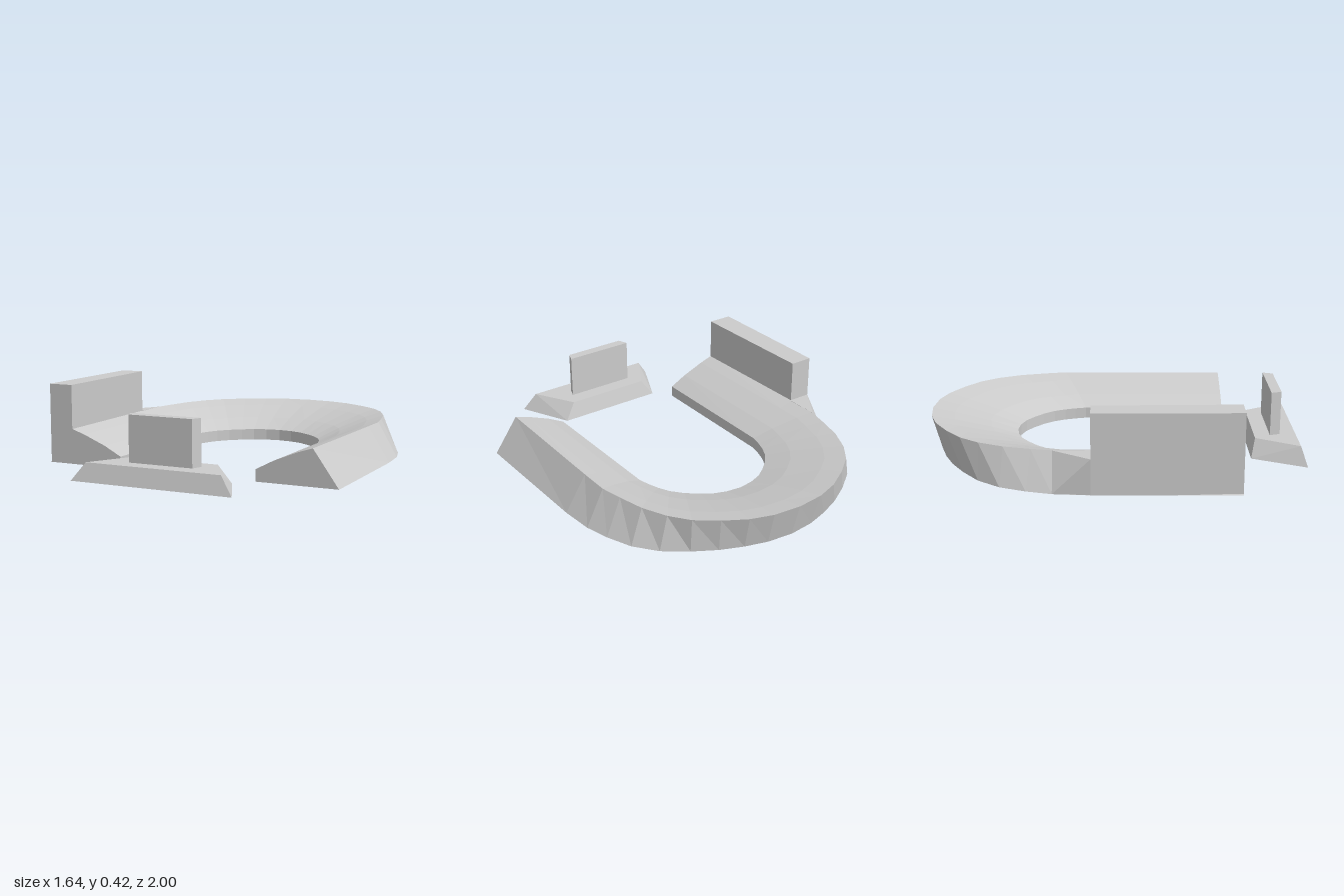
import * as THREE from 'three';
import { ConvexGeometry } from 'three/addons/geometries/ConvexGeometry.js';

const material = new THREE.MeshStandardMaterial({ color: 0xcccccc, flatShading: true });

function addMesh(group, name, geometry) {
  const mesh = new THREE.Mesh(geometry, material);
  mesh.name = name;
  group.add(mesh);
}

// Solid between a bottom outline at y0 and a top outline at y1, given as [x, z] corners
function frustum(bottom, y0, top, y1) {
  return new ConvexGeometry([
    ...bottom.map(([x, z]) => new THREE.Vector3(x, y0, z)),
    ...top.map(([x, z]) => new THREE.Vector3(x, y1, z)),
  ]);
}

// Outline symmetric in x: back edge half-width and z, front edge half-width and z
const trapezoid = (xb, zb, xf, zf) => [[-xb, zb], [xb, zb], [xf, zf], [-xf, zf]];

// Half of the mound, from the back centre to the front end:
// inner edge x z, outer foot x z, outer ridge x z
const stations = [
  [0, -0.535, 0, -0.95, 0, -1],
  [0.08, -0.525, 0.14, -0.935, 0.15, -0.985],
  [0.15, -0.50, 0.26, -0.90, 0.27, -0.945],
  [0.21, -0.46, 0.38, -0.85, 0.39, -0.875],
  [0.27, -0.41, 0.50, -0.78, 0.50, -0.79],
  [0.32, -0.35, 0.62, -0.69, 0.575, -0.69],
  [0.35, -0.29, 0.71, -0.575, 0.635, -0.56],
  [0.37, -0.23, 0.765, -0.44, 0.67, -0.42],
  [0.385, -0.17, 0.80, -0.31, 0.695, -0.30],
  [0.385, -0.12, 0.815, -0.13, 0.695, -0.13],
  [0.385, 0.625, 0.82, 0.625, 0.685, 0.625],
];

// Sloping top, from ridge to inner edge: [fraction from inner edge, height]
const slope = [[1, 0.188], [0.74, 0.163], [0.32, 0.112], [0, 0.062]];

function section([ix, iz, bx, bz, tx, tz], side) {
  const top = slope.map(([f, y]) => [side * (ix + (tx - ix) * f), y, iz + (tz - iz) * f]);
  return [[side * bx, 0, bz], ...top, [side * ix, 0, iz]];
}

function moundGeometry() {
  const rings = [
    ...stations.slice().reverse().map((s) => section(s, 1)),
    ...stations.slice(1).map((s) => section(s, -1)),
  ];
  const n = rings[0].length;
  const index = [];
  for (let r = 0; r < rings.length - 1; r++) {
    for (let k = 0; k < n; k++) {
      const a = r * n + k, c = r * n + (k + 1) % n;
      index.push(a, a + n, c, a + n, c + n, c);
    }
  }
  // Flat front ends
  const last = (rings.length - 1) * n;
  for (let k = 1; k < n - 1; k++) {
    index.push(0, k, k + 1, last, last + k + 1, last + k);
  }
  const geometry = new THREE.BufferGeometry();
  geometry.setAttribute('position', new THREE.Float32BufferAttribute(rings.flat(2), 3));
  geometry.setIndex(index);
  const flat = geometry.toNonIndexed();
  flat.computeVertexNormals();
  return flat;
}

export function createModel() {
  const group = new THREE.Group();
  group.name = 'horseshoeMonument';

  addMesh(group, 'horseshoeMound', moundGeometry());

  // Upright wall along the outside of the right arm
  const wall = [[-0.815, 0.625], [-0.68, 0.625], [-0.695, -0.12], [-0.82, -0.12]];
  addMesh(group, 'sideWall', frustum(wall, 0, wall, 0.42));

  // Wedge easing the mound into the wall
  addMesh(group, 'wallTransition', frustum(
    [[-0.815, -0.12], [-0.69, -0.12], [-0.80, -0.31], [-0.69, -0.30]], 0,
    [[-0.82, -0.12], [-0.69, -0.12], [-0.695, -0.31]], 0.188));

  // Free-standing tablet on its plinth
  addMesh(group, 'plinth', frustum(
    trapezoid(0.305, 0.72, 0.44, 1), 0, trapezoid(0.24, 0.745, 0.37, 0.97), 0.093));
  const tablet = trapezoid(0.195, 0.83, 0.175, 0.885);
  addMesh(group, 'tablet', frustum(tablet, 0.08, tablet, 0.33));

  return group;
}
